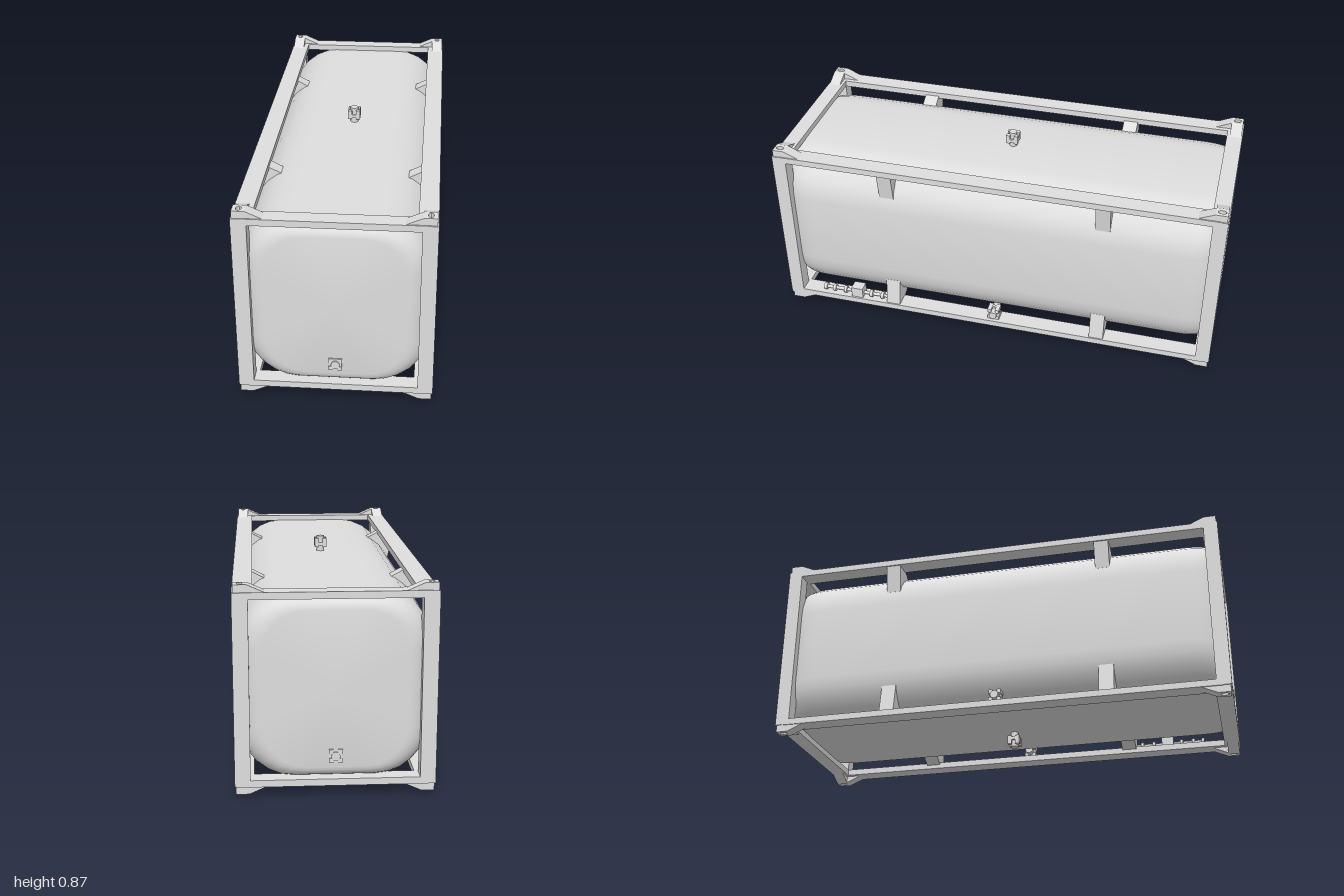
import * as THREE from 'three';
import { toCreasedNormals } from 'three/addons/utils/BufferGeometryUtils.js';

const L = 1.0, W = 0.395, MID = 0.441;   // half length, half width, middle height
const RAIL = 0.078, POST = 0.062, FIT = 0.052;

// tank lofted from rounded rectangles; side edges of the ends curve more than top edges
function tankGeometry() {
  const N = 7, STEPS = 8, ring = 4 * N;
  const arc = t => 1 - Math.sqrt(1 - Math.min(1, Math.max(0, t)) ** 2);
  const half = [];
  for (let i = 0; i <= STEPS; i++) half.push(0.84 + 0.15 * Math.sin(i / STEPS * Math.PI / 2));
  const stations = [...half.map(u => -u).reverse(), ...half];
  const pos = [], idx = [];
  for (const x of stations) {
    const u = Math.abs(x);
    const a = 0.383 - 0.1 * arc((u - 0.84) / 0.15);
    const b = 0.365 - 0.05 * arc((u - 0.92) / 0.07);
    const r = 0.2 - 0.03 * arc((u - 0.84) / 0.15);
    for (let c = 0; c < 4; c++) {
      const sz = c === 0 || c === 3 ? 1 : -1, sy = c < 2 ? 1 : -1;
      for (let k = 0; k < N; k++) {
        const t = (c + k / (N - 1)) * Math.PI / 2;
        pos.push(x, sy * (b - r) + r * Math.sin(t), sz * (a - r) + r * Math.cos(t));
      }
    }
  }
  const last = stations.length - 1;
  const c0 = stations.length * ring, c1 = c0 + 1;
  pos.push(stations[0], 0, 0, stations[last], 0, 0);
  for (let j = 0; j < ring; j++) {
    const n = (j + 1) % ring;
    for (let i = 0; i < last; i++) {
      const p = i * ring, q = p + ring;
      idx.push(p + j, q + j, q + n, p + j, q + n, p + n);
    }
    idx.push(c0, j, n, c1, last * ring + n, last * ring + j);
  }
  const g = new THREE.BufferGeometry();
  g.setAttribute('position', new THREE.Float32BufferAttribute(pos, 3));
  g.setIndex(idx);
  return toCreasedNormals(g, 0.8);
}

export function createModel() {
  const grey = new THREE.MeshStandardMaterial({ color: 0xdedede });
  grey.name = 'light grey';
  const model = new THREE.Group();
  model.name = 'tankContainer';
  // body is built with its length on x and its middle at the origin
  const body = new THREE.Group();
  body.name = 'container';
  body.position.y = MID;
  body.rotation.y = 0.818;
  model.add(body);

  const add = (name, geo, x = 0, y = 0, z = 0, parent = body) => {
    const m = new THREE.Mesh(geo, grey);
    m.name = name;
    m.position.set(x, y, z);
    parent.add(m);
    return m;
  };
  const box = (name, w, h, d, x, y, z, parent) =>
    add(name, new THREE.BoxGeometry(w, h, d), x, y, z, parent);
  const prism = (pts, depth) => {
    const g = new THREE.ExtrudeGeometry(
      new THREE.Shape(pts.map(p => new THREE.Vector2(...p))), { depth, bevelEnabled: false });
    return g.translate(0, 0, -depth / 2);
  };

  add('tank', tankGeometry());

  // corner fitting: square block with a slot through it
  const hp = POST / 2, hf = FIT / 2;
  const fit = new THREE.Shape([[-hf, -hf], [hf, -hf], [hf, hf], [-hf, hf]]
    .map(p => new THREE.Vector2(...p)));
  const slot = new THREE.Path();
  slot.absellipse(0, 0, 0.018, 0.011, 0, Math.PI * 2, true);
  fit.holes.push(slot);
  const fitting = new THREE.ExtrudeGeometry(fit, { depth: 0.032, bevelEnabled: false, curveSegments: 6 });
  fitting.translate(0, 0, -0.016).rotateX(Math.PI / 2);

  // ramp that lifts a rail to the corner fitting
  const ramp = prism([[0, 0], [0.072, 0], [0, 0.032]], FIT);
  // saddle bracket between rail and tank, leaning inwards
  const saddle = prism(
    [[-0.125, 0.345], [-0.07, 0.373], [0, 0.373], [-0.022, 0.235], [-0.05, 0.225]], 0.065);

  for (const sx of [-1, 1]) {
    for (const sz of [-1, 1]) {
      const x = sx * (L - hp), z = sz * (W - hp);
      box('cornerPost', POST, 0.775, POST, x, 0, z);
      for (const sy of [-1, 1]) {
        add('cornerFitting', fitting, x, sy * 0.403, z);
        // ramps along the length and across the end, flipped for the bottom
        const along = add('sideRamp', ramp, x - sx * hf, sy * 0.387, z);
        const across = add('endRamp', ramp, x, sy * 0.387, z - sz * hf);
        along.rotation.set(sy < 0 ? Math.PI : 0, sx > 0 ? Math.PI : 0, 0);
        across.rotation.order = 'YXZ';
        across.rotation.set(sy < 0 ? Math.PI : 0, sz * Math.PI / 2, 0);
        // saddle: profile x points outwards along the width
        const sad = add('saddle', saddle, sx * 0.485, 0, sz * (W - 0.004));
        sad.rotation.order = 'YXZ';
        sad.rotation.set(sy < 0 ? Math.PI : 0, -sz * Math.PI / 2, 0);
      }
    }
  }

  // side rails and end rails, top and bottom
  for (const sy of [-1, 1]) {
    for (const k of [-1, 1]) {
      box('sideRail', 2 * L - 0.06, 0.028, RAIL, 0, sy * 0.375, k * (W - RAIL / 2));
      box('endRail', 0.07, 0.028, 2 * W - 0.06, k * (L - 0.035), sy * 0.375, 0);
    }
  }

  // valve: pipe stub on local y with a four-lug flange
  const valve = (name, height) => {
    const g = new THREE.Group();
    g.name = name;
    add('valvePipe', new THREE.CylinderGeometry(0.018, 0.018, height, 12), 0, height / 2, 0, g);
    box('valveFlange', 0.052, 0.014, 0.052, 0, height * 0.5, 0, g);
    for (const i of [-1, 1])
      for (const j of [-1, 1])
        box('valveLug', 0.018, height * 0.55, 0.018, i * 0.018, height * 0.6, j * 0.018, g);
    body.add(g);
    return g;
  };
  for (const k of [-1, 1]) {
    const v = valve(k > 0 ? 'topValve' : 'bottomValve', 0.073);
    v.position.y = k * 0.361;
    if (k < 0) v.rotation.x = Math.PI;
    const e = valve('endValve', 0.026);
    e.position.set(k * 0.974, -0.268, 0);
    e.rotation.z = -k * Math.PI / 2;
    const side = valve('sideValve', 0.085);
    side.position.set(0, -0.333, k * 0.305);
    side.rotation.x = k * Math.PI / 2;
  }
  box('bottomOutlet', 0.025, 0.025, 0.07, 0, -0.376, 0.045);

  // outlet piping on one side
  const pipe = new THREE.CylinderGeometry(0.008, 0.008, 0.34, 10).rotateZ(Math.PI / 2);
  add('outletPipe', pipe, -0.665, -0.343, 0.365);
  box('outletBox', 0.055, 0.05, 0.05, -0.665, -0.333, 0.365);
  for (const dx of [-0.165, -0.12, -0.065, 0.065, 0.12, 0.165]) {
    const f = add('pipeFlange', new THREE.CylinderGeometry(0.017, 0.017, 0.014, 10),
      -0.665 + dx, -0.343, 0.365);
    f.rotation.z = Math.PI / 2;
  }
  return model;
}
